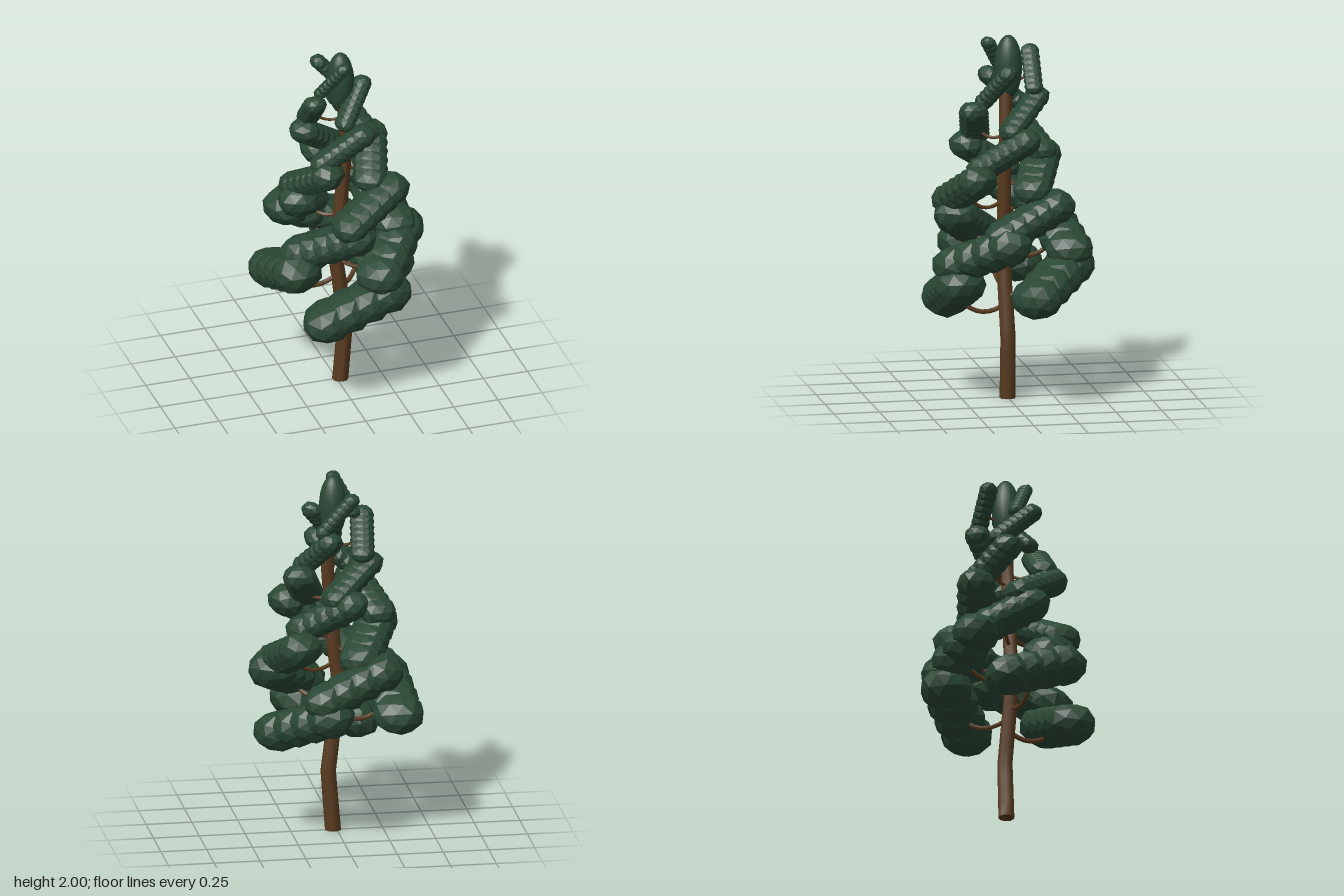
import * as THREE from 'three';

const bark = new THREE.MeshStandardMaterial({ color: 0x593b20 });
bark.name = 'barkBrown';
const needles = new THREE.MeshStandardMaterial({ color: 0x2a4735 });
needles.name = 'needleGreen';

// Crooked trunk centre line: [y, x, z]
const line = [
  [0, 0.02, 0.002], [0.33, 0.046, 0.004], [0.6, 0.012, 0.014], [0.8, -0.018, 0.02],
  [1.0, 0.01, 0.02], [1.25, 0.03, 0.02], [1.5, 0.05, 0.018], [1.75, 0.025, 0.015],
];
function trunkAt(y) {
  let i = 0;
  while (i < line.length - 2 && y > line[i + 1][0]) i++;
  const [a, b] = [line[i], line[i + 1]];
  const t = (y - a[0]) / (b[0] - a[0]);
  return new THREE.Vector3(a[1] + (b[1] - a[1]) * t, y, a[2] + (b[2] - a[2]) * t);
}

function makeTrunk() {
  const h = 1.75;
  const geo = new THREE.CylinderGeometry(0.034, 0.044, h, 10, 21);
  geo.translate(0, h / 2, 0);
  const p = geo.attributes.position;
  for (let i = 0; i < p.count; i++) {
    const c = trunkAt(p.getY(i));
    p.setXYZ(i, p.getX(i) + c.x, p.getY(i), p.getZ(i) + c.z);
  }
  geo.computeVertexNormals();
  const trunk = new THREE.Mesh(geo, bark);
  trunk.name = 'trunk';
  return trunk;
}

// Slightly irregular faceted clump of needles
function makeClumpGeometry() {
  const geo = new THREE.IcosahedronGeometry(0.98, 1);
  const p = geo.attributes.position;
  const v = new THREE.Vector3();
  for (let i = 0; i < p.count; i++) {
    v.fromBufferAttribute(p, i);
    v.multiplyScalar(1 + 0.05 * Math.sin(7 * v.x + 11 * v.y + 5 * v.z));
    p.setXYZ(i, v.x, v.y, v.z);
  }
  geo.computeVertexNormals();
  return geo;
}

// Small differences between boughs: [reach, height]
const offsets = [
  [-0.015, 0], [-0.015, 0], [0.015, 0], [0, 0.03], [0.015, 0.01], [-0.04, 0], [0, 0],
  [-0.06, 0], [0.025, 0.01], [-0.065, 0.02], [-0.02, 0], [-0.035, 0], [-0.045, 0],
  [0, 0], [-0.04, 0], [0, 0.015], [-0.045, 0], [0.015, 0.015], [-0.025, 0.01],
];

// One sagging branch carrying a rising row of faceted needle clumps
function makeBough(i, clumpGeo) {
  const y = 0.6 + 0.07 * i + offsets[i][1];
  const k = Math.pow(i / 18, 1.4);
  const angle = THREE.MathUtils.degToRad(137.5 * i);
  const reach = 0.315 - 0.21 * k + offsets[i][0];
  const size = 0.15 - 0.105 * k;
  const half = 0.165 - 0.1 * k;
  const rise = 0.062 + 0.022 * k;
  const out = new THREE.Vector3(Math.sin(angle), 0, Math.cos(angle));
  const side = new THREE.Vector3(Math.cos(angle), 0, -Math.sin(angle));
  const centre = new THREE.Vector3(0.012, y, 0.002).addScaledVector(out, reach);

  const bough = new THREE.Group();
  bough.name = 'bough' + (i + 1);

  const start = trunkAt(y - reach * 0.26);
  const sag = start.clone().lerp(centre, 0.55);
  sag.y = y - reach * 0.65;
  const curve = new THREE.QuadraticBezierCurve3(start, sag, centre);
  const branch = new THREE.Mesh(new THREE.TubeGeometry(curve, 10, 0.013 - 0.007 * k, 6), bark);
  branch.name = 'branch';
  bough.add(branch);

  const count = 4 + Math.floor(i / 5);
  for (let j = 0; j < count; j++) {
    const t = (j / (count - 1)) * 2 - 1;
    const clump = new THREE.Mesh(clumpGeo, needles);
    clump.name = 'needleClump';
    clump.position.copy(centre).addScaledVector(side, half * t);
    clump.position.y += rise * t;
    clump.rotation.set(0, angle, Math.atan2(rise, half) * 0.6, 'YXZ');
    clump.scale.set(size * 0.95, size * 0.78, size);
    bough.add(clump);
  }
  return bough;
}

export function createModel() {
  const tree = new THREE.Group();
  tree.name = 'coniferTree';
  tree.add(makeTrunk());

  // Boughs climb the trunk in a golden-angle spiral
  const clumpGeo = makeClumpGeometry();
  for (let i = 0; i < offsets.length; i++) tree.add(makeBough(i, clumpGeo));

  // Smooth pointed crown
  const crown = new THREE.Mesh(new THREE.SphereGeometry(1, 20, 14), needles);
  crown.name = 'crown';
  crown.position.set(0.022, 1.825, -0.002);
  crown.scale.set(0.075, 0.175, 0.075);
  tree.add(crown);
  return tree;
}
